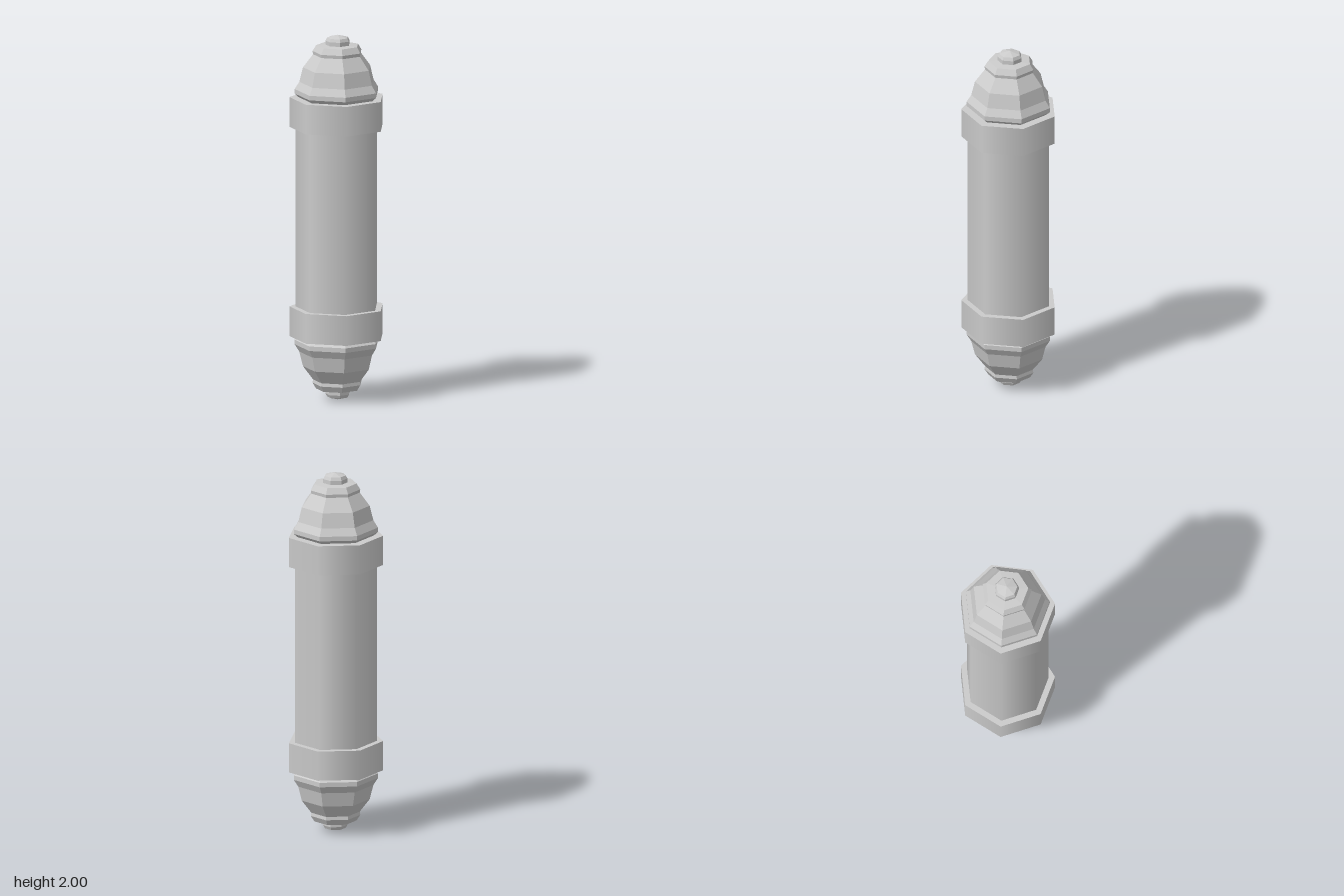
import * as THREE from 'three';

const SIDES = 7;
const START = Math.PI / 2; // one corner points to +x

export function createModel() {
  const model = new THREE.Group();
  const smooth = new THREE.MeshStandardMaterial({ color: 0xcccccc });
  const faceted = new THREE.MeshStandardMaterial({ color: 0xcccccc, flatShading: true });

  function add(name, geometry, material, y = 0) {
    const mesh = new THREE.Mesh(geometry, material);
    mesh.name = name;
    // The seven-sided section is offset so its bounds are centred
    mesh.position.set(-0.0145, y, 0);
    model.add(mesh);
  }

  const prism = (radius, height) =>
    new THREE.CylinderGeometry(radius, radius, height, SIDES, 1, false, START);

  // Long central tube
  add('tube', prism(0.227, 1.3), smooth, 1);

  // Collars around both ends of the tube
  add('upperCollar', prism(0.2615, 0.163), smooth, 1.574);
  add('lowerCollar', prism(0.2615, 0.163), smooth, 0.426);

  // Stepped end cap, radius and height from collar to tip
  const profile = [
    [0.205, 1.65], [0.233, 1.675], [0.233, 1.7], [0.208, 1.74],
    [0.188, 1.82], [0.134, 1.892], [0.137, 1.91], [0.117, 1.942],
    [0.067, 1.946], [0.067, 1.968], [0.058, 1.985], [0, 2],
  ];
  const upper = profile.map(([r, y]) => new THREE.Vector2(r, y));
  const lower = profile.map(([r, y]) => new THREE.Vector2(r, 2 - y)).reverse();
  add('upperCap', new THREE.LatheGeometry(upper, SIDES, START), faceted);
  add('lowerCap', new THREE.LatheGeometry(lower, SIDES, START), faceted);

  return model;
}
